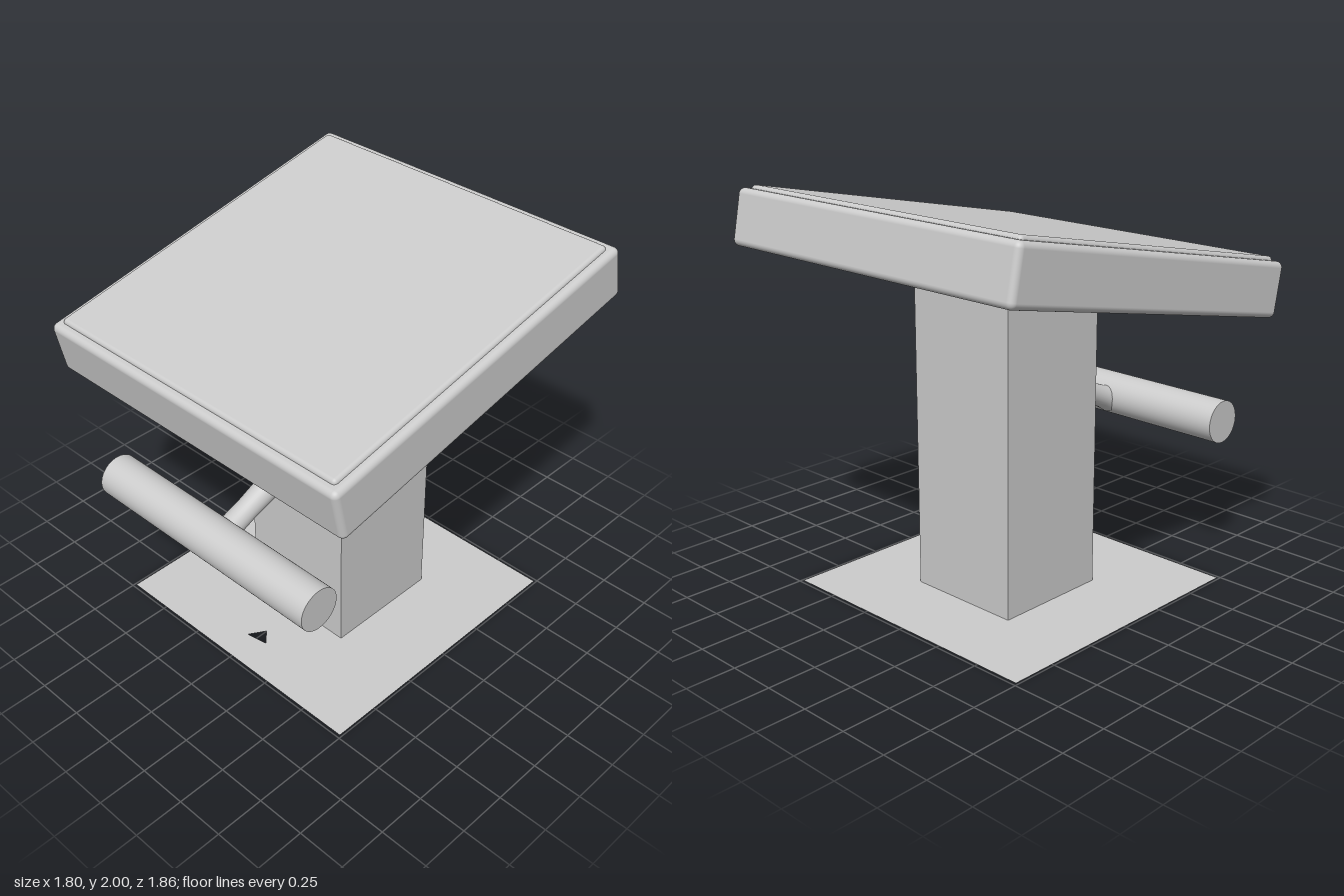
import * as THREE from 'three';
import { RoundedBoxGeometry } from 'three/addons/geometries/RoundedBoxGeometry.js';

const TILT = 0.201;
const material = new THREE.MeshStandardMaterial({ color: 0xcccccc });

function addPart(parent, name, geometry, x, y, z, mat = material) {
  const mesh = new THREE.Mesh(geometry, mat);
  mesh.name = name;
  mesh.position.set(x, y, z);
  parent.add(mesh);
  return mesh;
}

export function createModel() {
  const model = new THREE.Group();
  model.name = 'tiltedStool';

  // Paper-thin floor plate with a small three-cornered opening at the front
  const outline = new THREE.Shape([[-0.74, -0.735], [0.74, -0.735], [0.74, 0.735], [-0.74, 0.735]]
    .map(([x, y]) => new THREE.Vector2(x, y)));
  outline.holes.push(new THREE.Path([[-0.05, -0.58], [0.06, -0.56], [0, -0.5]]
    .map(([x, y]) => new THREE.Vector2(x, y))));
  const plateMaterial = material.clone();
  plateMaterial.side = THREE.DoubleSide;
  const plate = addPart(model, 'basePlate', new THREE.ShapeGeometry(outline), 0, 0.002, 0, plateMaterial);
  plate.rotation.x = -Math.PI / 2;

  // Square column, its top cut to the slope of the seat
  const columnGeometry = new THREE.BoxGeometry(0.61, 1.55, 0.61);
  columnGeometry.translate(0, 0.775, 0);
  const p = columnGeometry.attributes.position;
  for (let i = 0; i < p.count; i++) {
    if (p.getY(i) > 1) p.setY(i, 1.555 - p.getZ(i) * Math.tan(TILT));
  }
  columnGeometry.computeVertexNormals();
  addPart(model, 'column', columnGeometry, 0, 0, -0.03);

  // Tilted seat slab with a slightly raised pad
  const seat = new THREE.Group();
  seat.name = 'seat';
  seat.position.set(0, 1.672, 0);
  seat.rotation.x = TILT;
  model.add(seat);
  addPart(seat, 'seatSlab', new RoundedBoxGeometry(1.8, 0.27, 1.853, 4, 0.03), 0, 0, 0);
  addPart(seat, 'seatPad', new RoundedBoxGeometry(1.72, 0.1, 1.765, 4, 0.02), 0, 0.104, 0);

  // Foot bar across the front
  const bar = addPart(model, 'footBar', new THREE.CylinderGeometry(0.108, 0.108, 1.36, 48), 0, 0.803, 0.803);
  bar.rotation.z = Math.PI / 2;

  // Stem from the bar to the column, flaring where they join
  const start = new THREE.Vector3(0, 0.79, 0.74);
  const end = new THREE.Vector3(0, 0.995, 0.235);
  const length = start.distanceTo(end);
  const profile = [[0.07, 0], [0.058, 0.12], [0.056, 0.3], [0.062, 0.6], [0.072, 0.82], [0.084, 1]]
    .map(([r, t]) => new THREE.Vector2(r, t * length));
  const stem = addPart(model, 'stem', new THREE.LatheGeometry(profile, 32), start.x, start.y, start.z);
  stem.quaternion.setFromUnitVectors(new THREE.Vector3(0, 1, 0), end.clone().sub(start).normalize());

  return model;
}
